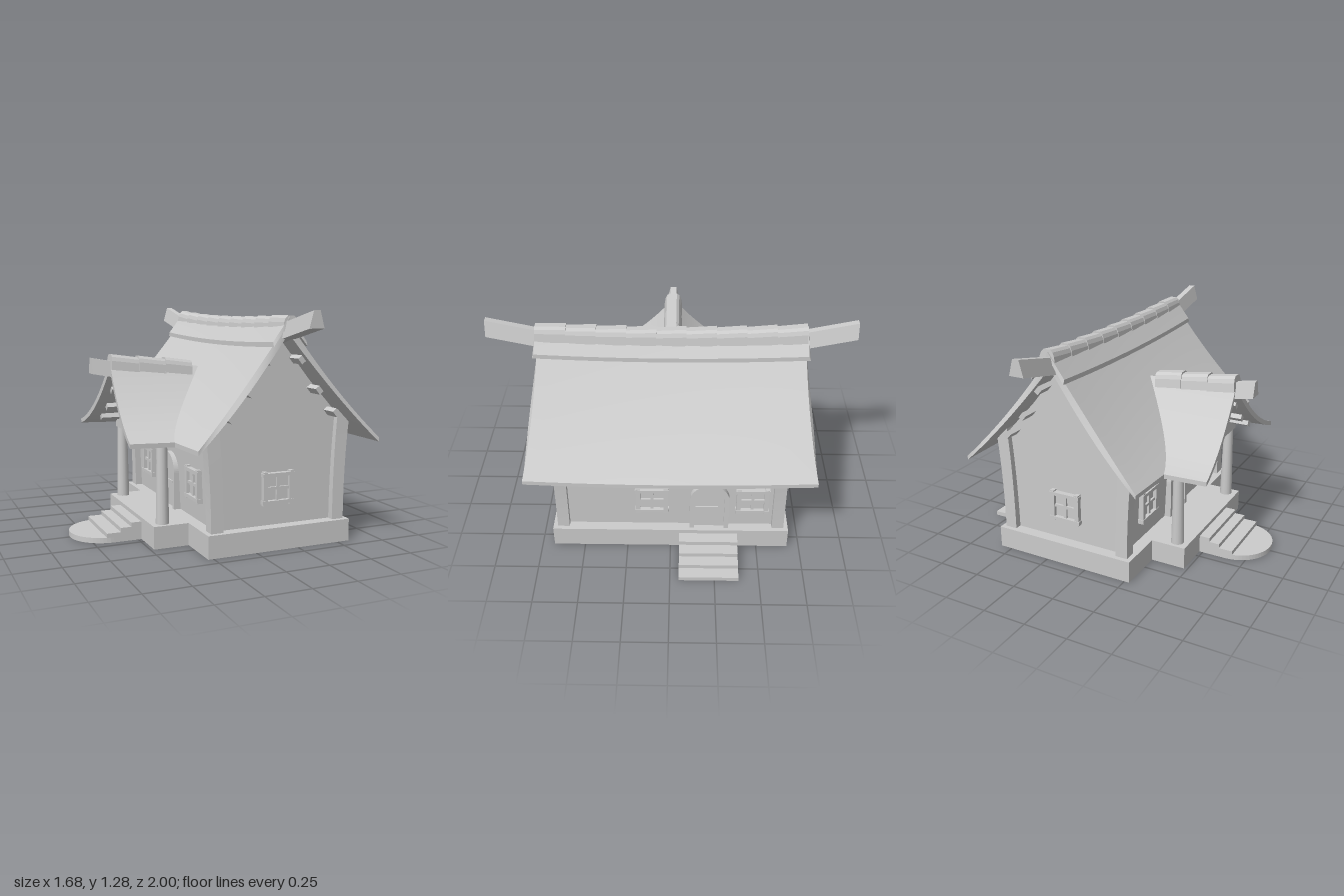
import * as THREE from 'three';

const mat = new THREE.MeshStandardMaterial({ color: 0xcccccc, side: THREE.DoubleSide });
const RIDGE_X = 0.148;

function add(parent, name, geo, x = 0, y = 0, z = 0) {
  const m = new THREE.Mesh(geo, mat);
  m.name = name;
  m.position.set(x, y, z);
  parent.add(m);
  return m;
}

function poly(pts) {
  return new THREE.Shape(pts.map(p => new THREE.Vector2(p[0], p[1])));
}

function extrude(shape, depth) {
  return new THREE.ExtrudeGeometry(shape, { depth, bevelEnabled: false, curveSegments: 16 });
}

// Remove the faces lying on the lowest level, leaving a shell open below
function openBottom(geo) {
  geo.computeBoundingBox();
  const floor = geo.boundingBox.min.y + 1e-4;
  const p = geo.attributes.position;
  const keep = [];
  for (let i = 0; i < p.count; i += 3)
    if (Math.max(p.getY(i), p.getY(i + 1), p.getY(i + 2)) > floor) keep.push(i, i + 1, i + 2);
  geo.clearGroups();
  geo.setIndex(keep);
  return geo;
}

// Flat shell with a footprint drawn in x and -z
const plate = (shape, h) => openBottom(extrude(shape, h).rotateX(-Math.PI / 2));

// Flight of steps going down along +x, given [end x, height] from the top
function stairs(x0, y0, treads, width) {
  const pts = [[x0, y0]];
  treads.forEach(([x], i) => pts.push([x, i ? treads[i - 1][2] : y0]));
  const outline = [[x0, y0], [treads[treads.length - 1][0], y0]];
  for (let i = treads.length - 1; i >= 0; i--) {
    outline.push([treads[i][0], treads[i][1]]);
    if (i) outline.push([treads[i - 1][0], treads[i][1]]);
  }
  outline.push([x0, treads[0][1]]);
  return openBottom(extrude(poly(outline), width));
}

// Move every vertex by a rule
function warp(geo, rule) {
  const p = geo.attributes.position;
  for (let i = 0; i < p.count; i++) p.setXYZ(i, ...rule(p.getX(i), p.getY(i), p.getZ(i)));
  geo.computeVertexNormals();
  return geo;
}

// Main roof height, t = 0 at the ridge and 1 at the eave, sagging at mid length
const sag = (t, z) => (0.022 - 0.017 * t) * (1 - Math.min(1, (z / 0.74) ** 2));
const roofY = (t, z = 0.74) => 1.22 - 0.625 * t - 0.12 * t * (1 - t) - sag(t, z);
const slopeX = y => { // x on the left slope at a given height
  const t = (0.745 - Math.sqrt(Math.max(0, 0.555 - 0.48 * (1.22 - y)))) / 0.24;
  return RIDGE_X - 0.535 * Math.min(t, 1);
};

// One side of the main roof, or a strip of it raised by lift
function roofSide(s, tMax, lift, thick) {
  return warp(new THREE.BoxGeometry(1, 1, 1, 14, 1, 24), (bx, by, bz) => {
    const t = (bx + 0.5) * tMax;
    const lip = by < 0 ? 0.02 * Math.sin(Math.PI * t) : 0;
    const z = s * bz * 2 * (0.725 + 0.065 * t ** 1.7 + lift * 0.4 + lip);
    const x = RIDGE_X + s * t * (0.545 - 0.015 * t * (z / 0.79) ** 2);
    return [x, roofY(t, z) + lift - (by < 0 ? thick * (1 - 0.6 * t) : 0), z];
  });
}

// Porch roof height, t = 0 at its ridge and 1 at the eave
const porchY = (t, x) => 0.955 - 0.37 * t - 0.24 * t * (1 - t) - 0.08 * (x + 0.15) * (1 - 0.6 * t);

function porchSide(s) {
  return warp(new THREE.BoxGeometry(1, 1, 1, 12, 1, 14), (bx, by, bz) => {
    const t = bz + 0.5;
    const outer = -0.59 - 0.045 * t;
    const inner = slopeX(porchY(t, -0.2)) + 0.03;
    const x = outer + (inner - outer) * (s * bx + 0.5);
    return [x, porchY(t, x) - (by < 0 ? 0.045 - 0.02 * t : 0), s * 0.495 * t];
  });
}

// Slightly tapered ridge tile running along +z
function ridgeTile(len, width) {
  const g = extrude(poly([[-0.5, -0.05], [0.5, -0.05], [0.43, 0], [0.34, 0.022],
    [0.2, 0.035], [-0.2, 0.035], [-0.34, 0.022], [-0.43, 0]]), len);
  return warp(g, (x, y, z) => {
    const k = 1 - 0.05 * z / len;
    return [x * k * width, y * k - 0.008 * z / len, z];
  });
}

// Ridge beam end that rises outwards along +z
function beamEnd(len, slope) {
  return warp(extrude(poly([[-0.042, 0], [0.042, 0], [0.018, 0.088], [-0.018, 0.088]]), len),
    (x, y, z) => [x, y + slope * z, z]);
}

// Window facing +z, centred on the wall plane
function makeWindow() {
  const g = new THREE.Group();
  g.name = 'window';
  add(g, 'pane', new THREE.PlaneGeometry(0.16, 0.16), 0, 0, 0.008);
  for (const s of [-1, 1]) {
    add(g, 'stile', new THREE.BoxGeometry(0.025, 0.185, 0.04), s * 0.078, 0, 0.008);
    add(g, 'rail', new THREE.BoxGeometry(0.19, 0.02, 0.046), 0, s * 0.075, 0.008);
  }
  add(g, 'mullion', new THREE.BoxGeometry(0.016, 0.15, 0.03), 0, 0, 0.005);
  add(g, 'glazingBar', new THREE.BoxGeometry(0.15, 0.016, 0.03), 0, 0, 0.005);
  return g;
}

function archShape(w, h) {
  const s = new THREE.Shape();
  s.moveTo(-w, 0);
  s.lineTo(w, 0);
  s.lineTo(w, h);
  s.absarc(0, h, w, 0, Math.PI, false);
  s.lineTo(-w, 0);
  return s;
}

// Arched door facing +z, standing on its threshold
function makeDoor() {
  const g = new THREE.Group();
  g.name = 'door';
  const frame = archShape(0.112, 0.215);
  frame.holes.push(archShape(0.085, 0.215));
  add(g, 'doorFrame', extrude(frame, 0.04), 0, 0, -0.01);
  add(g, 'doorLeaf', extrude(archShape(0.086, 0.215), 0.02), 0, 0, -0.01);
  add(g, 'doorBar', new THREE.BoxGeometry(0.13, 0.012, 0.012), -0.015, 0.15, 0.012);
  return g;
}

export function createModel() {
  const house = new THREE.Group();
  house.name = 'cottage';
  const place = (obj, x, y, z, turn) => {
    obj.position.set(x, y, z);
    obj.rotation.y = turn;
    house.add(obj);
  };

  // Foundation with porch floor, open below
  add(house, 'foundation', plate(poly([[-0.28, -0.68], [0.573, -0.68], [0.573, 0.68], [-0.28, 0.68],
    [-0.28, 0.41], [-0.48, 0.41], [-0.48, -0.41], [-0.28, -0.41]]), 0.125));

  // Side steps, and porch steps on a rounded slab
  add(house, 'sideSteps', stairs(0.573, 0,
    [[0.64, 0.1], [0.705, 0.075], [0.77, 0.05], [0.837, 0.025]], 0.335), 0, 0, -0.385);
  const slab = new THREE.Shape();
  slab.moveTo(-0.48, 0.2);
  slab.lineTo(-0.64, 0.2);
  slab.absarc(-0.64, 0, 0.2, Math.PI / 2, Math.PI * 1.5, false);
  slab.lineTo(-0.48, -0.2);
  add(house, 'roundStep', plate(slab, 0.03));
  place(add(house, 'porchSteps', stairs(0.48, 0.03,
    [[0.54, 0.102], [0.6, 0.078], [0.68, 0.054]], 0.4)), 0, 0, 0.2, Math.PI);
  house.children[house.children.length - 1].position.z = 0.2;

  // Walls with gables
  add(house, 'walls', openBottom(extrude(poly([[-0.21, 0.12], [0.515, 0.12], [0.53, 0.7], [0.34, 0.905],
    [RIDGE_X, 1.14], [-0.05, 0.905], [-0.235, 0.7]]), 1.23)), 0, 0, -0.615);

  // Corner posts, curving outwards and cut to the roof slope
  for (const s of [-1, 1]) for (const e of [-1, 1])
    add(house, 'cornerPost', warp(new THREE.BoxGeometry(0.07, 0.63, 0.068, 1, 8, 1), (x, y, z) => {
      const h = y / 0.63 + 0.5;
      const px = 0.366 + x + 0.028 * h * h;
      const top = Math.min(0.76, roofY(px / 0.545) - 0.04);
      return [RIDGE_X + s * px, 0.12 + h * (top - 0.12), e * (0.62 - 0.008 * h) + z];
    }));

  // Main roof and the strip along its ridge
  for (const s of [-1, 1]) {
    add(house, 'mainRoof', roofSide(s, 1, 0, 0.06));
    add(house, 'ridgeStrip', roofSide(s, 0.18, 0.028, 0.028));
  }

  // Ridge tiles, stepping along the ridge
  const tileLen = 1.46 / 9;
  for (let i = 0; i < 9; i++) {
    const z = -0.73 + i * tileLen;
    const tile = add(house, 'ridgeTile', ridgeTile(tileLen + 0.005, 0.1), RIDGE_X + 0.008, roofY(0, z) + 0.005, z);
    tile.rotation.x = Math.atan2(roofY(0, z) - roofY(0, z + tileLen), tileLen);
  }

  // Ridge beam ends
  place(add(house, 'ridgeBeam', beamEnd(0.4, 0.22)), RIDGE_X, 1.103, 0.6, 0);
  place(add(house, 'ridgeBeam', beamEnd(0.4, 0.22)), RIDGE_X, 1.103, -0.6, Math.PI);

  // Purlin ends under the gables
  for (const s of [-1, 1]) for (const e of [-1, 1])
    for (const [dx, y] of [[0.09, 1.02], [0.2, 0.857], [0.31, 0.73]])
      add(house, 'purlinEnd', new THREE.BoxGeometry(0.04, 0.028, 0.12),
        RIDGE_X + s * dx, y, e * 0.65).rotation.z = -s * 0.88;

  // Rafter ends under the long eaves
  for (const s of [-1, 1]) for (let i = 0; i < 6; i++)
    add(house, 'rafterEnd', new THREE.BoxGeometry(0.09, 0.03, 0.04),
      RIDGE_X + s * 0.415, 0.67, -0.5 + i * 0.2).rotation.z = -s * 0.8;

  // Porch posts and gable
  for (const e of [-1, 1])
    add(house, 'porchPost', new THREE.CylinderGeometry(0.029, 0.037, 0.44, 14), -0.412, 0.34, e * 0.355);
  const gable = add(house, 'porchGable', extrude(poly([[-0.4, 0.555], [0.4, 0.555], [0.4, 0.585],
    [0.25, 0.665], [0.12, 0.79], [0, 0.92], [-0.12, 0.79], [-0.25, 0.665], [-0.4, 0.585]]), 0.22));
  place(gable, -0.22, 0, 0, -Math.PI / 2);

  // Porch roof, ridge tiles, beam end and purlins
  for (const s of [-1, 1]) {
    add(house, 'porchRoof', porchSide(s));
    for (const [z, y] of [[0.1, 0.815], [0.2, 0.705], [0.32, 0.63]])
      add(house, 'porchPurlin', new THREE.BoxGeometry(0.13, 0.028, 0.04), -0.49, y, s * z)
        .rotation.x = s * (1 - 1.6 * z);
  }
  for (let i = 0; i < 3; i++) {
    const x = -0.59 + i * 0.16;
    const tile = ridgeTile(0.165, 0.112).rotateX(0.08);
    place(add(house, 'porchRidgeTile', tile), x, porchY(0, x) + 0.005, 0, Math.PI / 2);
  }
  place(add(house, 'porchBeam', beamEnd(0.26, 0.18)), -0.44, 0.877, 0, -Math.PI / 2);

  // Windows and doors
  const q = Math.PI / 2;
  place(makeWindow(), 0.148, 0.33, 0.615, 0);
  place(makeWindow(), 0.148, 0.33, -0.615, Math.PI);
  for (const z of [0.105, -0.465]) place(makeWindow(), 0.522, 0.33, z, q);
  for (const z of [0.365, -0.365]) place(makeWindow(), -0.22, 0.33, z, -q);
  place(makeDoor(), 0.522, 0.125, -0.222, q);
  place(makeDoor(), -0.22, 0.125, 0, -q);

  return house;
}
